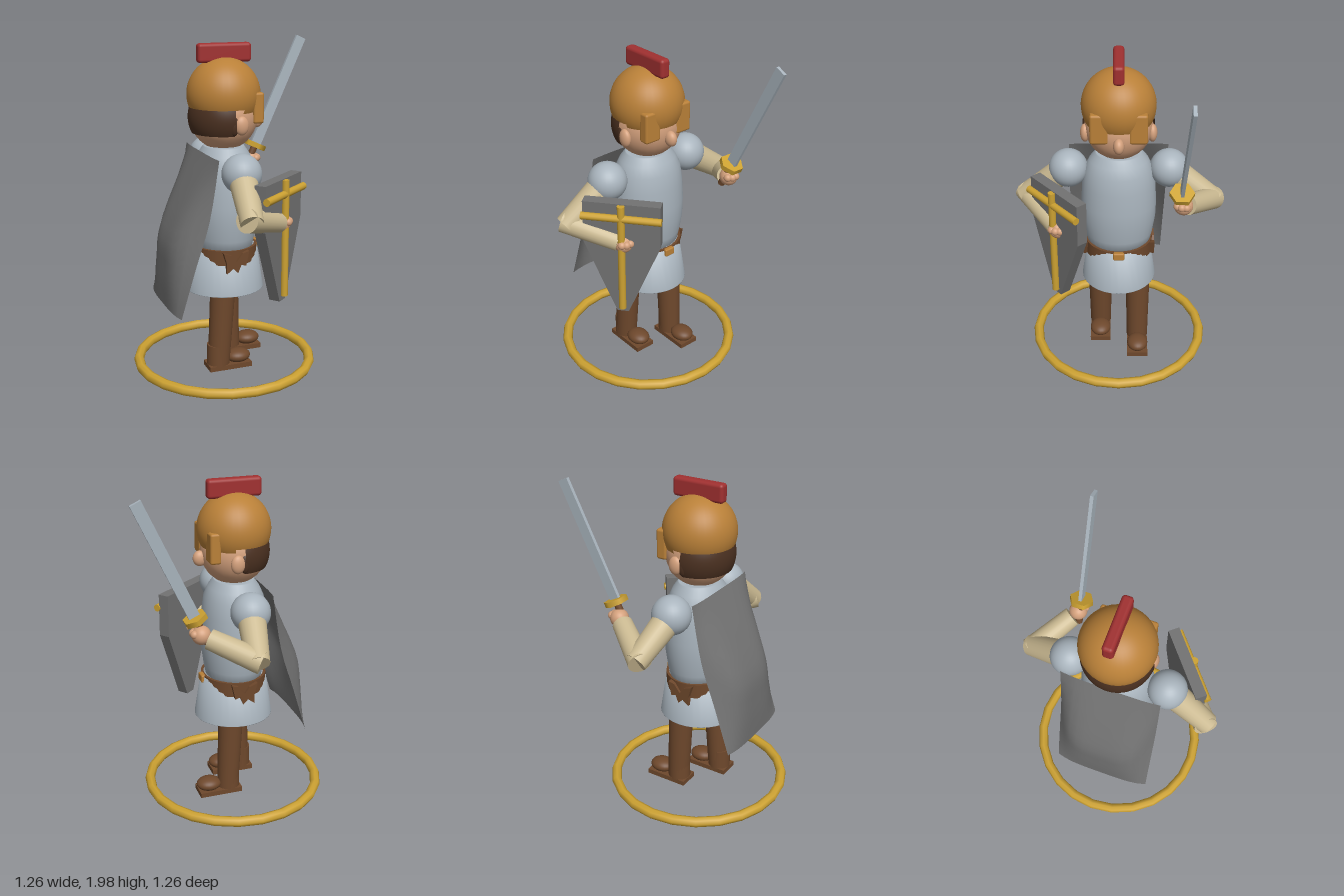
import * as THREE from 'three';
import { RoundedBoxGeometry } from 'three/addons/geometries/RoundedBoxGeometry.js';

const V = (x, y, z) => new THREE.Vector3(x, y, z);
const CX = -0.065; // body axis; the figure looks towards +x

function material(name, color, open = false) {
  const m = new THREE.MeshStandardMaterial({ color });
  m.name = name;
  if (open) m.side = THREE.DoubleSide;
  return m;
}

export function createModel() {
  const model = new THREE.Group();
  model.name = 'soldier';
  const steel = material('steel', 0xa9b4bd);
  const bronze = material('bronze', 0xb98038, true);
  const gold = material('gold', 0xcda232);
  const skin = material('skin', 0xd3a07c);
  const hairMat = material('hair', 0x4a3020, true);
  const leather = material('leather', 0x6e482c);
  const cloth = material('sleeve cloth', 0xcbba92);
  const red = material('crest red', 0xa03030);
  const grey = material('dark grey', 0x727272, true);

  const add = (name, geo, mat, pos = V(0, 0, 0), parent = model) => {
    const m = new THREE.Mesh(geo, mat);
    m.name = name;
    m.position.copy(pos);
    parent.add(m);
    return m;
  };
  const ball = (name, mat, pos, rx, ry = rx, rz = rx) => {
    const m = add(name, new THREE.SphereGeometry(1, 28, 20), mat, pos);
    m.scale.set(rx, ry, rz);
    return m;
  };
  // tapered cylinder between two points
  const limb = (name, mat, a, b, ra, rb, sides = 24) => {
    const d = b.clone().sub(a);
    const m = add(name, new THREE.CylinderGeometry(rb, ra, d.length(), sides), mat, a.clone().add(b).multiplyScalar(0.5));
    m.quaternion.setFromUnitVectors(V(0, 1, 0), d.normalize());
    return m;
  };
  const lathe = (name, mat, pts, sx, sz) => {
    const m = add(name, new THREE.LatheGeometry(pts.map(p => new THREE.Vector2(...p)), 32), mat, V(CX, 0, 0));
    m.scale.set(sx, 1, sz);
    return m;
  };

  // Base ring
  add('baseRing', new THREE.TorusGeometry(0.535, 0.031, 8, 24).rotateX(Math.PI / 2), gold, V(CX, 0.037, 0));

  // Legs and shoes; the right leg steps forward
  for (const [side, z, hipX, footX] of [['left', 0.12, -0.115, -0.145], ['right', -0.12, -0.01, 0.01]]) {
    limb(side + 'Leg', leather, V(footX, 0.05, z), V(hipX, 0.56, z), 0.067, 0.077);
    add(side + 'Sole', new THREE.BoxGeometry(0.27, 0.03, 0.13), leather, V(footX + 0.06, 0.04, z));
    ball(side + 'Toe', leather, V(footX + 0.125, 0.085, z), 0.078, 0.042, 0.066);
    add(side + 'Heel', new THREE.CylinderGeometry(0.066, 0.068, 0.13, 20), leather, V(footX - 0.006, 0.115, z));
  }

  // Tunic skirt, belt and breastplate
  lathe('skirt', steel, [[0, 0.51], [0.235, 0.51], [0.235, 0.512], [0.195, 0.78], [0, 0.78]], 1.03, 0.98);
  lathe('breastplate', steel, [[0, 0.74], [0.185, 0.74], [0.208, 0.84], [0.225, 0.95], [0.228, 1.05],
    [0.22, 1.18], [0.205, 1.28], [0.175, 1.34], [0.14, 1.385], [0.135, 1.39], [0, 1.39]], 0.87, 1);
  lathe('belt', leather, [[0.19, 0.7], [0.207, 0.7], [0.207, 0.7], [0.207, 0.79], [0.207, 0.79], [0.19, 0.79]], 0.96, 1);
  add('buckle', new RoundedBoxGeometry(0.03, 0.048, 0.068, 2, 0.008), bronze, V(CX + 0.2, 0.767, 0));
  const knot = new THREE.Shape([[-0.08, 0.04], [-0.03, 0.02], [0, -0.02], [0.04, 0.03], [0.08, 0.04], [0.06, -0.05],
    [0.03, -0.04], [0.01, -0.09], [-0.02, -0.06], [-0.06, -0.09], [-0.06, -0.03]].map(p => new THREE.Vector2(...p)));
  for (const s of [1, -1]) {
    add('beltKnot', new THREE.ExtrudeGeometry(knot, { depth: 0.03, bevelEnabled: false }).translate(0, 0, -0.015),
      leather, V(CX, 0.745, s * 0.206));
  }

  // Head, face and hair
  ball('head', skin, V(CX, 1.56, 0), 0.2);
  ball('nose', skin, V(0.143, 1.528, 0), 0.042, 0.047, 0.032);
  for (const s of [1, -1]) {
    ball('ear', skin, V(-0.025, 1.53, s * 0.195), 0.042, 0.055, 0.028);
    ball('sideburn', hairMat, V(-0.068, 1.53, s * 0.188), 0.028, 0.058, 0.022);
  }
  add('hair', new THREE.SphereGeometry(0.211, 32, 20, -Math.PI / 2, Math.PI, 0, 2.02), hairMat, V(CX, 1.56, 0));

  // Helmet with brow, cheek guards and crest
  add('helmet', new THREE.SphereGeometry(0.217, 36, 20, 0, Math.PI * 2, 0, 1.9), bronze, V(CX, 1.69, 0));
  add('helmetBrow', new THREE.SphereGeometry(0.217, 24, 6, Math.PI - 1.3, 2.6, 1.88, 0.38), bronze, V(CX, 1.69, 0));
  for (const s of [1, -1]) {
    add('cheekGuard', new RoundedBoxGeometry(0.065, 0.18, 0.105, 2, 0.014), bronze, V(0.095, 1.62, s * 0.112));
  }
  add('crestMount', new THREE.CylinderGeometry(0.025, 0.035, 0.05, 12), bronze, V(CX, 1.89, 0));
  add('crest', new RoundedBoxGeometry(0.327, 0.112, 0.064, 3, 0.02), red, V(-0.063, 1.93, 0));

  // Arms
  const arms = [
    ['left', 1, V(-0.11, 1.07, 0.55), V(0.13, 0.99, 0.375), V(0.155, 0.98, 0.36)],
    ['right', -1, V(-0.01, 1.095, -0.555), V(0.21, 1.185, -0.395), V(0.25, 1.205, -0.37)],
  ];
  for (const [side, s, elbow, wrist, hand] of arms) {
    const shoulder = V(CX, 1.275, s * 0.3);
    ball(side + 'Pauldron', steel, shoulder, 0.116);
    limb(side + 'UpperArm', cloth, shoulder, elbow.clone().add(V(0, -0.012, s * 0.025)), 0.085, 0.066);
    limb(side + 'Forearm', cloth, elbow.clone().lerp(wrist, -0.12), wrist, 0.07, 0.06);
    ball(side + 'Hand', skin, hand, 0.055);
    for (let i = 0; i < 3; i++) {
      const a = -0.3 + i * 0.6;
      ball(side + 'Finger', skin, hand.clone().add(V(0.045 * Math.cos(a), 0.012, 0.045 * Math.sin(a))), 0.024);
    }
  }

  // Sword
  const sword = new THREE.Group();
  sword.name = 'sword';
  sword.position.set(0.28, 1.3, -0.357);
  sword.rotation.set(-0.03, 0, -0.44);
  model.add(sword);
  add('blade', new THREE.BoxGeometry(0.066, 0.735, 0.02), steel, V(0, 0.38, 0), sword);
  add('guard', new THREE.CylinderGeometry(0.072, 0.072, 0.032, 6), gold, V(0, 0, 0), sword);
  add('grip', new THREE.CylinderGeometry(0.022, 0.022, 0.17, 12), leather, V(0, -0.085, 0), sword);

  // Shield, its outer face turned towards +x and +z
  const shield = new THREE.Group();
  shield.name = 'shield';
  shield.position.set(0.14, 0, 0.353);
  shield.rotation.y = 0.69;
  model.add(shield);
  const outline = new THREE.Shape([[-0.225, 1.245], [-0.225, 0.98], [-0.035, 0.515], [0.035, 0.515], [0.225, 0.98],
    [0.225, 1.245]].map(p => new THREE.Vector2(...p)));
  add('shieldBoard', new THREE.ExtrudeGeometry(outline, { depth: 0.068, bevelEnabled: false }).translate(0, 0, -0.034), grey, V(0, 0, 0), shield);
  add('shieldUpright', new THREE.CylinderGeometry(0.022, 0.022, 0.695, 12), gold, V(0, 0.893, 0.045), shield);
  add('shieldCrossbar', new THREE.CylinderGeometry(0.022, 0.022, 0.465, 12).rotateZ(Math.PI / 2), gold, V(0, 1.158, 0.045), shield);

  // Cape: a sheet whose middle bows out behind its edges
  const edge = new THREE.SplineCurve([[-0.2, 1.36], [-0.26, 1.02], [-0.35, 0.74], [-0.44, 0.45]].map(p => new THREE.Vector2(...p)));
  const middle = new THREE.SplineCurve([[-0.21, 1.36], [-0.425, 0.92], [-0.462, 0.68], [-0.465, 0.45]].map(p => new THREE.Vector2(...p)));
  const cape = new THREE.PlaneGeometry(1, 1, 12, 12);
  const pos = cape.attributes.position;
  for (let i = 0; i < pos.count; i++) {
    const u = pos.getX(i) * 2, v = 0.5 - pos.getY(i);
    const p = edge.getPoint(v).lerp(middle.getPoint(v), 1 - u ** 4);
    pos.setXYZ(i, p.x, p.y, u * 0.3 + v * 0.02);
  }
  cape.computeVertexNormals();
  add('cape', cape, grey);

  return model;
}
